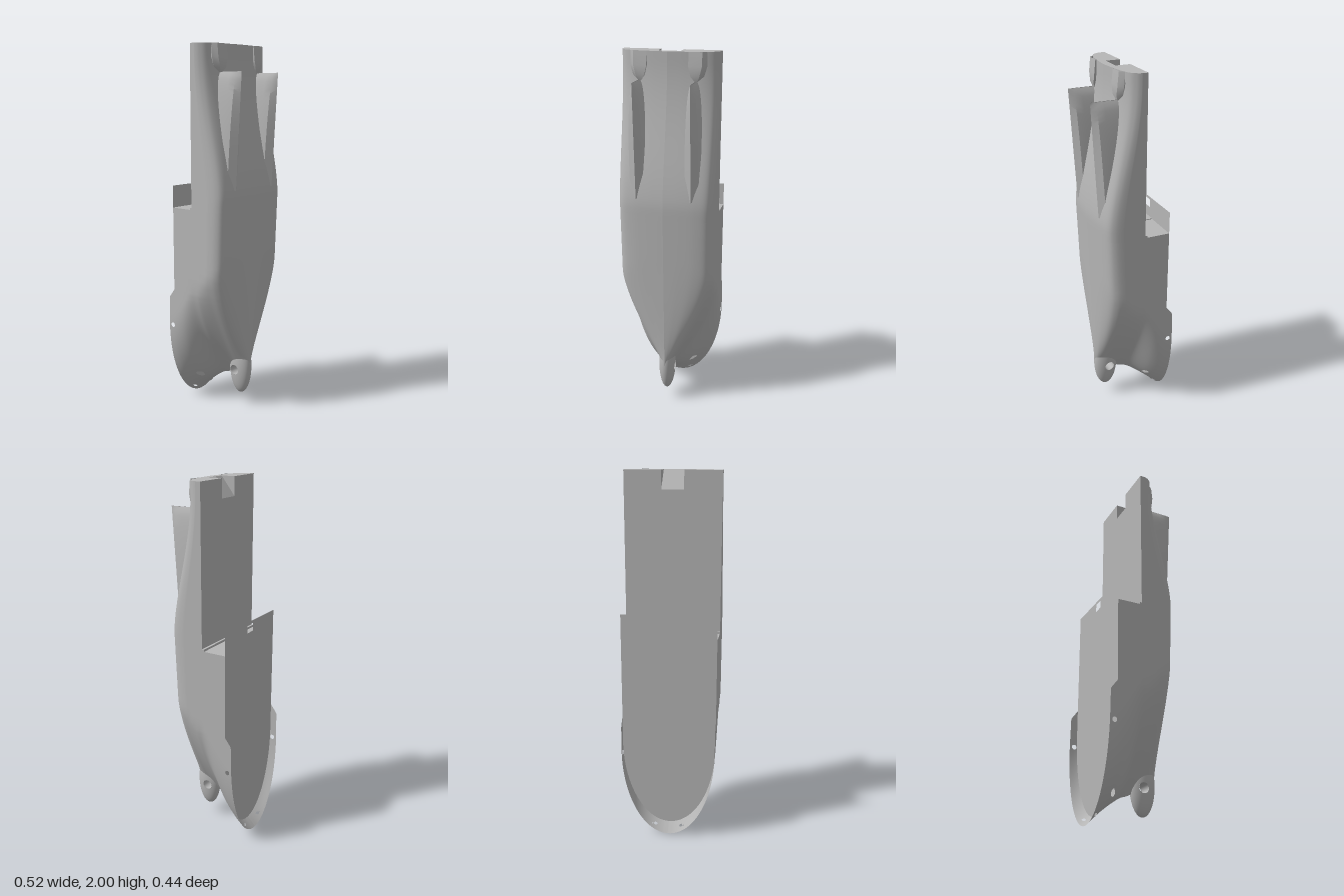
import * as THREE from 'three';
import { toCreasedNormals } from 'three/addons/utils/BufferGeometryUtils.js';

const grey = new THREE.MeshStandardMaterial({ color: 0xb6b6b6, side: THREE.DoubleSide });
grey.name = 'hull grey';

const { clamp, lerp, smoothstep } = THREE.MathUtils;
const BEAM = 0.26, FORE = -0.17, MAIN = -0.03, STEP = 1.14, STERN = 2;

// Hull lines, from bulwark to keel:
// stem y, stem z, half breadth, midship z, entrance length, curve a, curve b, stern z
const LINES = [
  [0, -0.22, 0.26, -0.2, 0.5, 2, 0.5, -0.2],
  [0.05, -0.17, 0.26, -0.17, 0.48, 2, 0.5, -0.17],
  [0.1, -0.11, 0.26, -0.11, 0.5, 1.9, 0.6, -0.11],
  [0.15, -0.04, 0.26, -0.03, 0.55, 1.6, 0.85, -0.03],
  [0.165, 0, 0.26, 0.03, 0.55, 1.5, 1, -0.015],
  [0.19, 0.06, 0.26, 0.09, 0.58, 1.4, 1, 0.0],
  [0.2, 0.1, 0.25, 0.14, 0.6, 1.4, 1, 0.025],
  [0.21, 0.13, 0.225, 0.168, 0.62, 1.4, 1, 0.05],
  [0.215, 0.15, 0.17, 0.182, 0.66, 1.4, 1, 0.07],
  [0.22, 0.16, 0.09, 0.19, 0.7, 1.4, 1, 0.082],
  [0.22, 0.165, 0, 0.195, 0.7, 1.4, 1, 0.09],
];
const SUB = 8, COLS = (LINES.length - 1) * SUB;

function lineAt(j) {
  const i = Math.min(Math.floor(j / SUB), LINES.length - 2), t = j / SUB - i;
  const row = (k) => LINES[clamp(k, 0, LINES.length - 1)];
  return LINES[0].map((_, n) => {
    const [a, b, c, d] = [row(i - 1)[n], row(i)[n], row(i + 1)[n], row(i + 2)[n]];
    return b + 0.5 * t * (c - a + t * (2 * a - 5 * b + 4 * c - d + t * (3 * (b - c) + d - a)));
  });
}

// Upper edge of the side: bulwark, forecastle, then main deck
function topEdge(y) {
  if (y > STEP) return MAIN;
  return y < 0.64 ? -1 : lerp(-0.2, FORE, clamp((y - 0.64) / 0.04, 0, 1));
}

function hullPoint(line, y) {
  const [sy, sz, mx, mz, len, a, b, ez] = line;
  const s = clamp((y - sy) / len, 0, 1);
  const x = Math.min(BEAM, mx * Math.pow(1 - Math.pow(1 - s, a), b));
  const z = lerp(lerp(sz, mz, clamp(y - sy, 0, 1)), ez, Math.pow(smoothstep(y, 1.2, 1.95), 0.85));
  return [Math.max(x, 0), y, Math.max(z, topEdge(y))];
}

// Builds a grid surface from rows of points
function loft(rows) {
  const w = rows[0].length, index = [];
  for (let i = 0; i < rows.length - 1; i++)
    for (let j = 0; j < w - 1; j++) {
      const a = i * w + j, b = a + w;
      index.push(a, b, a + 1, b, b + 1, a + 1);
    }
  const g = new THREE.BufferGeometry();
  g.setAttribute('position', new THREE.Float32BufferAttribute(rows.flat(2), 3));
  g.setIndex(index);
  g.computeVertexNormals();
  return g;
}

// Cuts round openings sideways through a surface
function punch(g, holes) {
  const p = g.attributes.position;
  for (const [hy, hz, r] of holes) {
    const dist = (i) => Math.hypot(p.getY(i) - hy, p.getZ(i) - hz);
    const old = Array.from(g.index.array), kept = [];
    for (let k = 0; k < old.length; k += 3) {
      const tri = old.slice(k, k + 3);
      if (!tri.every((i) => dist(i) < r)) kept.push(...tri);
    }
    g.setIndex(kept);
    for (let i = 0; i < p.count; i++) {
      const d = dist(i);
      if (d < r && d > 1e-5) {
        p.setY(i, hy + (p.getY(i) - hy) * r / d);
        p.setZ(i, hz + (p.getZ(i) - hz) * r / d);
      }
    }
  }
  return g;
}

export function createModel() {
  const model = new THREE.Group();
  const add = (name, geometry) => {
    const m = new THREE.Mesh(geometry, grey);
    m.name = name;
    model.add(m);
    return m;
  };
  const addPair = (name, geometry) => {
    add(name + 'Left', geometry);
    add(name + 'Right', geometry).scale.x = -1;
  };
  const flat = (pts, holes = []) => {
    const s = new THREE.Shape(pts.map(([x, y]) => new THREE.Vector2(x, y)));
    s.holes = holes.map((h) => new THREE.Path(h.map(([x, y]) => new THREE.Vector2(x, y))));
    return new THREE.ShapeGeometry(s);
  };
  const mirrored = (pts) => [...pts, ...pts.slice().reverse().map(([x, y]) => [-x, y])];

  // Hull sides and bottom
  const lines = Array.from({ length: COLS + 1 }, (_, j) => lineAt(j));
  const rows = [];
  for (let i = 0; i <= 80; i++)
    rows.push(lines.map((l) => hullPoint(l, lerp(l[0], 0.64, Math.pow(i / 80, 1.4)))));
  const stations = [0.66, 0.68];
  for (let y = 0.72; y < STEP - 0.01; y += 0.04) stations.push(y);
  stations.push(STEP, STEP + 0.0005);
  for (let i = 1; i <= 30; i++) stations.push(lerp(STEP, STERN, i / 30));
  for (const y of stations) rows.push(lines.map((l) => hullPoint(l, y)));
  const tunnel = [0.21, 0.085, 0.028];
  addPair('hullSide', punch(loft(rows), [
    tunnel, [0.47, -0.185, 0.014], [0.045, -0.196, 0.009], [0.15, -0.12, 0.017],
  ]));

  // Bulbous bow with thruster tunnel
  const bulb = new THREE.SphereGeometry(1, 72, 56);
  bulb.scale(0.046, 0.165, 0.07).translate(0, 0.232, 0.095);
  add('bulbousBow', punch(bulb, [tunnel]));
  const tube = new THREE.CylinderGeometry(0.028, 0.028, 0.085, 32, 1, true);
  tube.rotateZ(Math.PI / 2).translate(0, tunnel[0], tunnel[1]);
  add('thrusterTunnel', tube);

  // Forecastle deck, overhanging the step
  const edge = rows.map((r) => r[SUB]).filter((p) => p[1] <= STEP).map(([x, y]) => [x, y]);
  const fore = flat(mirrored([...edge, [BEAM, 1.26]]),
    [[[-0.03, 1.2], [0.03, 1.2], [0.03, 1.245], [-0.03, 1.245]]]);
  add('forecastleDeck', fore.rotateY(Math.PI).translate(0, 0, FORE));

  // Wall at the step, with its ledge and panels
  const wall = new THREE.PlaneGeometry(2 * BEAM, MAIN - FORE);
  add('stepWall', wall.rotateX(-Math.PI / 2).translate(0, STEP, (MAIN + FORE) / 2));
  const box = (name, w, h, d, x, y, z) =>
    add(name, new THREE.BoxGeometry(w, h, d).translate(x, y, z));
  box('deckLedge', 2 * BEAM, 0.012, 0.012, 0, STEP + 0.006, -0.036);
  box('wallPanelSmall', 0.062, 0.006, 0.125, -0.074, STEP + 0.003, -0.107);
  box('wallPanelLarge', 0.103, 0.004, 0.125, 0.0085, STEP + 0.002, -0.107);

  // Main deck with a notch for the stern ramp
  const N = 0.06, RAMP = 1.9, FLOOR = 0.048;
  const deck = flat(mirrored([[BEAM, STEP], [BEAM, STERN], [N, STERN], [N, RAMP]]));
  add('mainDeck', deck.rotateY(Math.PI).translate(0, 0, MAIN));
  add('sternRamp', loft([
    [[N, RAMP, MAIN], [-N, RAMP, MAIN]],
    [[N, STERN, FLOOR], [-N, STERN, FLOOR]],
  ]));
  const cheek = flat([[RAMP, MAIN], [STERN, MAIN], [STERN, FLOOR]]);
  cheek.applyMatrix4(new THREE.Matrix4().set(0, 0, 1, N, 1, 0, 0, 0, 0, 1, 0, 0, 0, 0, 0, 1));
  addPair('rampCheek', cheek);

  // Transom
  const half = rows[rows.length - 1].filter((p) => p[2] > MAIN + 1e-4).map(([x, , z]) => [x, -z]);
  const transom = flat(mirrored([[N, -FLOOR], [N, -MAIN], [BEAM, -MAIN], ...half]));
  add('transom', transom.rotateX(-Math.PI / 2).translate(0, STERN, 0));

  // Thruster mounts under the stern
  const mount = [
    [1.84, 0.15, 0.17, 0.075], [1.88, 0.12, 0.19, 0.092],
    [1.93, 0.108, 0.203, 0.092], [STERN, 0.108, 0.203, 0.085],
  ].map(([y, a, b, z]) =>
    [[b, y, 0.035], [b - 0.004, y, z - 0.025], [b - 0.025, y, z], [a, y, z], [a, y, 0.035]]);
  addPair('sternMount', toCreasedNormals(loft(mount), 0.5));

  // Twin skegs, thinning to a trailing edge
  const skeg = [];
  for (let i = 0; i <= 28; i++) {
    const y = lerp(1.25, 1.857, i / 28);
    const w = 0.043 * Math.sqrt(1 - Math.pow(Math.max(0, y - 1.4) / 0.458, 2));
    const z = lerp(0.186, 0.222, i / 28);
    skeg.push([[w, 0.06], [w, z - 0.07], [w * 0.86, z - 0.028], [0, z],
      [-w * 0.86, z - 0.028], [-w, z - 0.07], [-w, 0.06]].map(([x, d]) => [0.148 + x, y, d]));
  }
  addPair('skeg', toCreasedNormals(loft(skeg), 0.6));

  return model;
}
